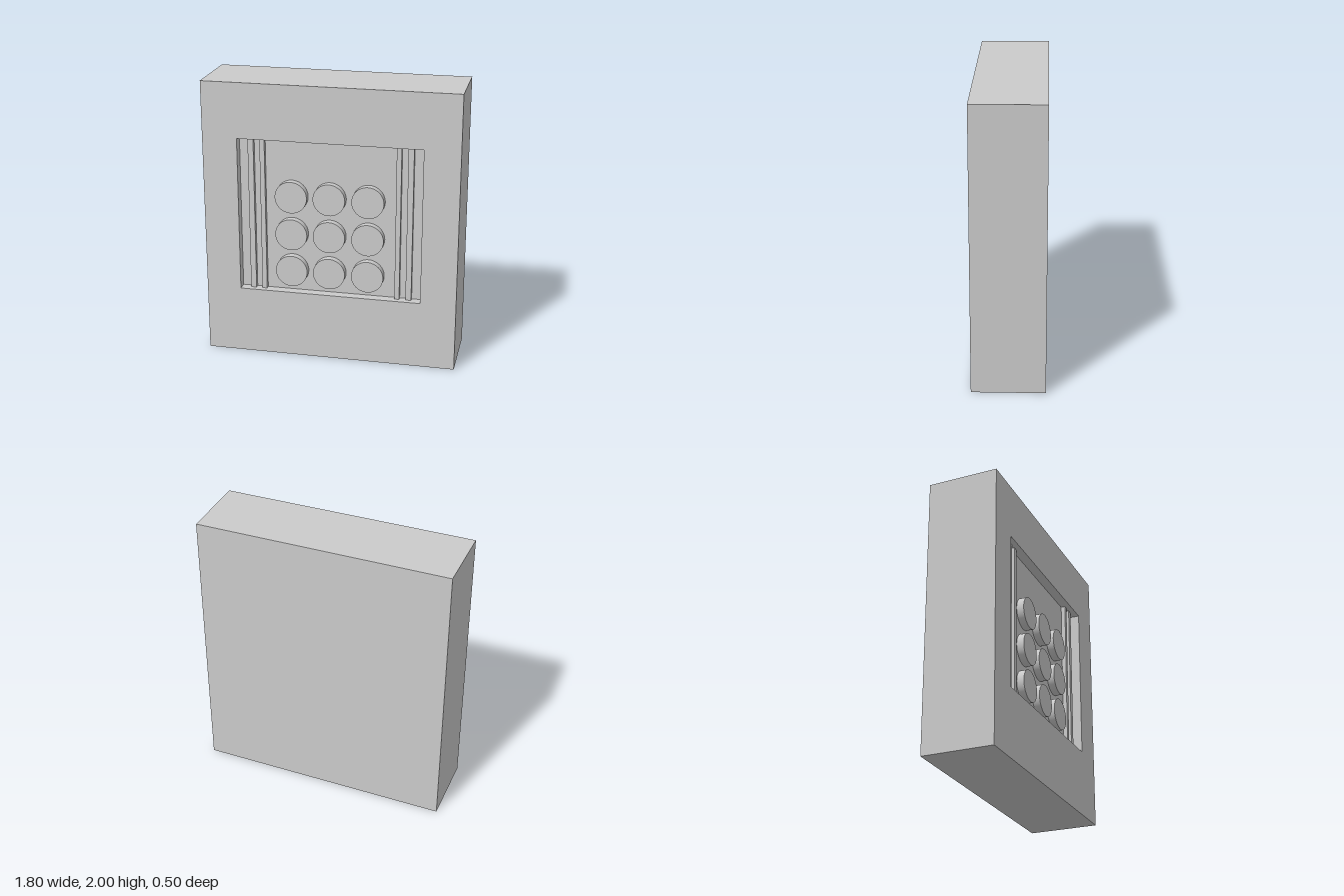
import * as THREE from 'three';

const W = 1.8, H = 2, D = 0.505;          // outer block
const FRONT = D / 2;
const RECESS = { x0: -0.652, x1: 0.648, y0: 0.487, y1: 1.605, depth: 0.07 };
const FLOOR = FRONT - RECESS.depth;

const material = new THREE.MeshStandardMaterial({ color: 0xcccccc });

function add(parent, name, geometry, x, y, z) {
  const mesh = new THREE.Mesh(geometry, material);
  mesh.name = name;
  mesh.position.set(x, y, z);
  parent.add(mesh);
  return mesh;
}

// Box without its +z face; inward turns the faces to the inside
function openBox(w, h, d, inward = false) {
  const box = new THREE.BoxGeometry(w, h, d);
  const index = Array.from(box.index.array).filter((_, i) => i < 24 || i >= 30);
  box.clearGroups();
  box.setIndex(inward ? index.reverse() : index);
  if (inward) {
    const n = box.attributes.normal;
    for (let i = 0; i < n.count; i++) n.setXYZ(i, -n.getX(i), -n.getY(i), -n.getZ(i));
  }
  return box;
}

function rectangle(path, x0, y0, x1, y1) {
  path.moveTo(x0, y0).lineTo(x1, y0).lineTo(x1, y1).lineTo(x0, y1).closePath();
  return path;
}

export function createModel() {
  const model = new THREE.Group();
  model.name = 'keypadPanel';
  const { x0, x1, y0, y1, depth } = RECESS;
  const midX = (x0 + x1) / 2, midY = (y0 + y1) / 2;

  // Housing: block, front face with its opening, and the sunken tray
  const housing = new THREE.Group();
  housing.name = 'housing';
  model.add(housing);
  add(housing, 'block', openBox(W, H, D), 0, H / 2, 0);
  const face = rectangle(new THREE.Shape(), -W / 2, 0, W / 2, H);
  face.holes.push(rectangle(new THREE.Path(), x0, y0, x1, y1));
  add(housing, 'frontFace', new THREE.ShapeGeometry(face), 0, 0, FRONT);
  add(housing, 'recess', openBox(x1 - x0, y1 - y0, depth, true), midX, midY, FRONT - depth / 2);

  // Upright ribs, two on each side of the keys
  const ribs = new THREE.Group();
  ribs.name = 'ribs';
  model.add(ribs);
  const ribHeight = 0.03;
  for (const [a, b] of [[-0.586, -0.546], [-0.501, -0.467], [0.459, 0.493], [0.538, 0.578]]) {
    add(ribs, 'rib', new THREE.BoxGeometry(b - a, y1 - y0, ribHeight),
      (a + b) / 2, midY, FLOOR + ribHeight / 2);
  }

  // Three by three round keys
  const keys = new THREE.Group();
  keys.name = 'keys';
  model.add(keys);
  const keyHeight = 0.052;
  const keyGeometry = new THREE.CylinderGeometry(0.114, 0.114, keyHeight, 64).rotateX(Math.PI / 2);
  for (const y of [1.194, 0.918, 0.643]) {
    for (const x of [-0.279, -0.008, 0.266]) {
      add(keys, 'key', keyGeometry, x, y, FLOOR + keyHeight / 2);
    }
  }
  return model;
}
